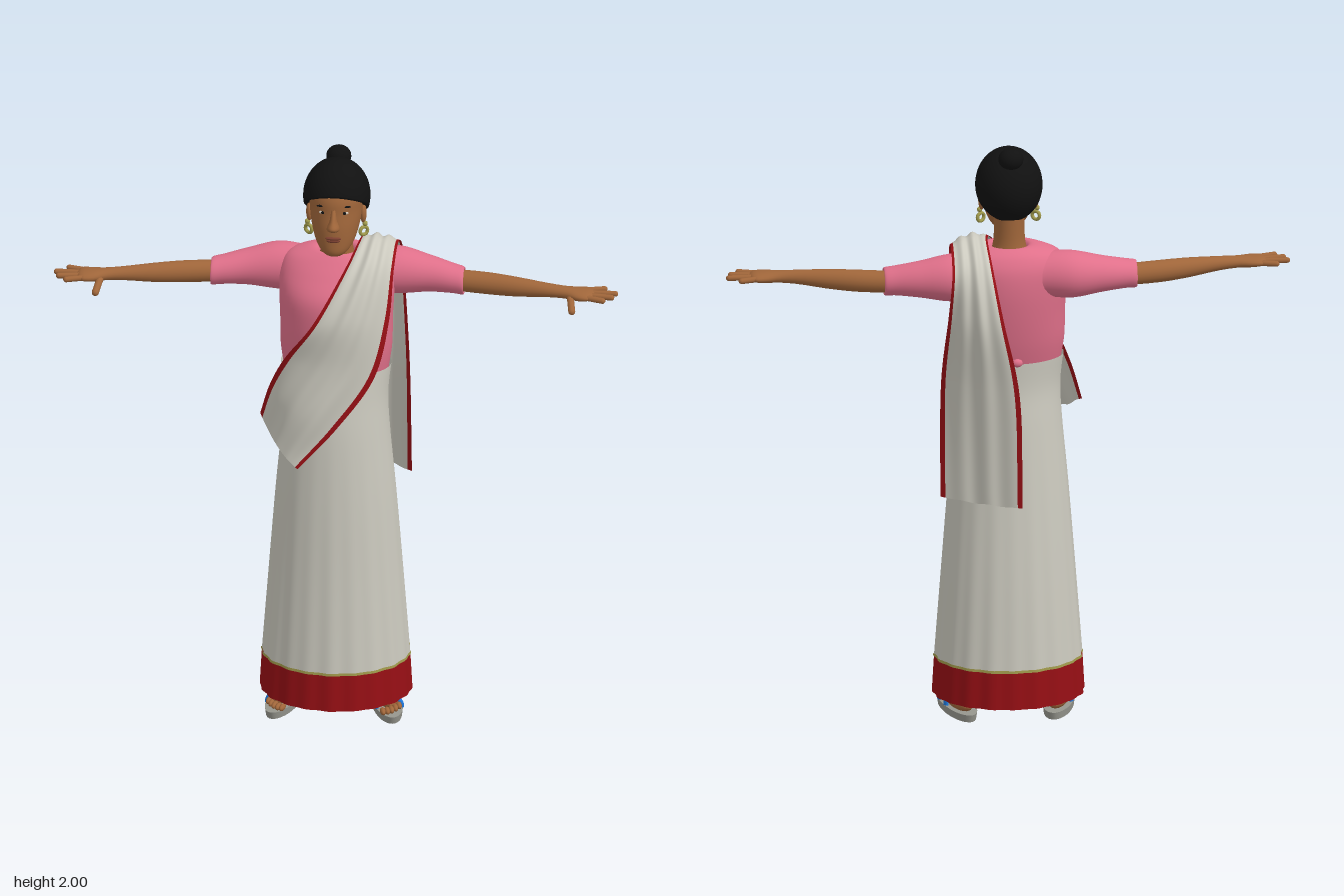
import * as THREE from 'three';
import { mergeVertices } from 'three/addons/utils/BufferGeometryUtils.js';

const colours = { skin: 0xa0663a, hair: 0x111111, blouse: 0xe0708a, cloth: 0xcbc9be, border: 0x960f14,
  gold: 0xa09a4c, strap: 0x1f7ae0, sole: 0x96968e, lips: 0x7c4030, eyeWhite: 0xcfc4b4 };

// Smooth grid surface from point(u, v), u and v in 0..1
function surface(point, nu, nv) {
  const pos = [], idx = [];
  for (let j = 0; j <= nv; j++) for (let i = 0; i <= nu; i++) pos.push(...point(i / nu, j / nv));
  for (let j = 0; j < nv; j++) for (let i = 0; i < nu; i++) {
    const a = j * (nu + 1) + i, b = a + 1, c = a + nu + 1, d = c + 1;
    idx.push(a, b, d, a, d, c);
  }
  let g = new THREE.BufferGeometry();
  g.setAttribute('position', new THREE.Float32BufferAttribute(pos, 3));
  g.setIndex(idx);
  g = mergeVertices(g, 1e-5);
  g.computeVertexNormals();
  return g;
}

// Catmull-Rom sample of a table of rows
function sample(rows, t) {
  const f = t * (rows.length - 1), i = Math.min(Math.floor(f), rows.length - 2), s = f - i;
  const [p, q, r, w] = [-1, 0, 1, 2].map(k => rows[THREE.MathUtils.clamp(i + k, 0, rows.length - 1)]);
  return q.map((_, k) => q[k] + 0.5 * s * (r[k] - p[k] + s * (2 * p[k] - 5 * q[k] + 4 * r[k] - w[k]
    + s * (3 * (q[k] - r[k]) + w[k] - p[k]))));
}

// Upright body: rows of [y, half width, front z, back z], with optional folds
function upright(rows, nu = 40, nv = 24, fold = () => 0) {
  return surface((u, v) => {
    const [y, w, f, b] = sample(rows, v), a = u * Math.PI * 2;
    const k = 1 + fold(y) * (Math.cos(a * 20) + 0.5 * Math.cos(a * 13));
    return [Math.sin(a) * Math.max(w, 0) * k, y, (f + b) / 2 + Math.cos(a) * (f - b) / 2 * k];
  }, nu, nv);
}

// Limb along x: rows of [x, y, z, y radius, z radius]
function limb(rows, nu = 20, nv = 20) {
  return surface((u, v) => {
    const [x, y, z, ry, rz] = sample(rows, v), a = u * Math.PI * 2;
    return [x, y - Math.sin(a) * Math.max(ry, 0), z + Math.cos(a) * Math.max(rz, 0)];
  }, nu, nv);
}

// Mirrored copy across x with corrected winding
function mirror(geo) {
  const g = geo.clone().scale(-1, 1, 1), ix = g.index.array;
  for (let i = 0; i < ix.length; i += 3) [ix[i], ix[i + 1]] = [ix[i + 1], ix[i]];
  return g;
}

const ball = (x, y, z, rx, ry, rz) => new THREE.SphereGeometry(1, 20, 14).scale(rx, ry, rz).translate(x, y, z);

// Rounded finger between two points
function finger(a, b, r) {
  const p = new THREE.Vector3(...a), q = new THREE.Vector3(...b), d = q.clone().sub(p);
  const g = new THREE.CapsuleGeometry(r, d.length(), 4, 10);
  g.applyQuaternion(new THREE.Quaternion().setFromUnitVectors(new THREE.Vector3(0, 1, 0), d.normalize()));
  return g.translate(...p.add(q).multiplyScalar(0.5).toArray());
}

export function createModel() {
  const model = new THREE.Group();
  model.name = 'womanInDrapedDress';
  const mats = {};
  for (const [name, color] of Object.entries(colours)) {
    mats[name] = new THREE.MeshStandardMaterial({ color });
    mats[name].name = name;
  }
  for (const n of ['cloth', 'border', 'blouse', 'hair']) mats[n].side = THREE.DoubleSide;
  const add = (name, geo, mat) => {
    const m = new THREE.Mesh(geo, mats[mat]);
    m.name = name;
    model.add(m);
  };
  const pair = (name, geo, mat) => {
    add(name + 'Left', geo, mat);
    add(name + 'Right', mirror(geo), mat);
  };

  // Skirt with hem border and gold trim
  const fold = y => 0.011 * Math.max(0, 1 - y / 1.1);
  add('skirt', upright([[0.2, 0.245, 0.243, -0.18], [0.5, 0.223, 0.225, -0.16], [0.8, 0.2, 0.21, -0.135],
    [1.02, 0.18, 0.195, -0.115], [1.15, 0.174, 0.178, -0.1], [1.255, 0.184, 0.162, -0.102]], 160, 30, fold), 'cloth');
  add('skirtHem', upright([[0.07, 0.252, 0.25, -0.185], [0.2, 0.245, 0.243, -0.18]], 160, 4, fold), 'border');
  add('hemTrim', upright([[0.197, 0.248, 0.246, -0.183], [0.206, 0.247, 0.245, -0.182]], 160, 1, fold), 'gold');

  // Blouse, sleeves and the small knot at the back
  add('blouse', upright([[1.235, 0.174, 0.15, -0.093], [1.32, 0.186, 0.16, -0.115], [1.42, 0.188, 0.168, -0.132],
    [1.51, 0.192, 0.16, -0.14], [1.58, 0.19, 0.115, -0.135], [1.625, 0.165, 0.08, -0.115],
    [1.648, 0.11, 0.06, -0.09], [1.652, 0.07, 0.053, -0.072], [1.635, 0.055, 0.045, -0.06]], 48, 40), 'blouse');
  pair('sleeve', limb([[0.1, 1.555, -0.045, 0.075, 0.075], [0.2, 1.555, -0.06, 0.08, 0.08],
    [0.3, 1.55, -0.052, 0.062, 0.064], [0.38, 1.543, -0.036, 0.05, 0.054], [0.42, 1.538, -0.028, 0.046, 0.05],
    [0.415, 1.538, -0.028, 0.035, 0.037]], 28, 24), 'blouse');
  for (const s of [-1, 1]) add('backKnot', ball(s * 0.016, 1.265, -0.115, 0.018, 0.014, 0.012), 'blouse');

  // Arms and hands
  pair('forearm', limb([[0.38, 1.537, -0.035, 0.036, 0.036], [0.5, 1.538, -0.015, 0.037, 0.037],
    [0.6, 1.54, 0.008, 0.033, 0.033], [0.7, 1.543, 0.03, 0.024, 0.026], [0.765, 1.543, 0.042, 0.02, 0.027],
    [0.81, 1.542, 0.05, 0.019, 0.042], [0.85, 1.543, 0.05, 0.014, 0.043], [0.868, 1.543, 0.05, 0, 0]]), 'skin');
  const tips = [[0.895, 0.1], [0.922, 0.072], [0.932, 0.04], [0.893, 0.005]];
  tips.forEach(([x, z], i) => pair('finger', finger([0.84, 1.543, 0.082 - i * 0.021], [x, 1.543, z], 0.0098), 'skin'));
  pair('thumb', finger([0.785, 1.535, 0.07], [0.795, 1.512, 0.127], 0.012), 'skin');

  // Neck, head and face
  add('neck', upright([[1.6, 0.07, 0.06, -0.07], [1.66, 0.053, 0.055, -0.058], [1.75, 0.052, 0.06, -0.06]], 28, 8), 'skin');
  add('head', upright([[1.674, 0, 0.1, 0.1], [1.677, 0.028, 0.125, 0.06], [1.695, 0.05, 0.14, 0.02], [1.73, 0.069, 0.142, -0.02],
    [1.78, 0.082, 0.141, -0.06], [1.83, 0.088, 0.134, -0.075], [1.88, 0.09, 0.128, -0.075],
    [1.925, 0.07, 0.1, -0.05], [1.95, 0, 0.02, 0.02]], 40, 36), 'skin');
  add('nose', upright([[1.773, 0, 0.135, 0.13], [1.78, 0.02, 0.16, 0.11], [1.793, 0.02, 0.172, 0.11],
    [1.815, 0.012, 0.157, 0.11], [1.85, 0.008, 0.136, 0.11]], 20, 16), 'skin');
  add('upperLip', ball(0, 1.75, 0.14, 0.027, 0.006, 0.008), 'lips');
  add('lowerLip', ball(0, 1.741, 0.139, 0.023, 0.007, 0.008), 'lips');
  pair('eye', ball(0.035, 1.836, 0.12, 0.015, 0.006, 0.005), 'eyeWhite');
  pair('pupil', ball(0.035, 1.836, 0.123, 0.007, 0.006, 0.004), 'hair');
  pair('eyebrow', ball(0.036, 1.858, 0.118, 0.022, 0.004, 0.005).rotateZ(0), 'hair');
  pair('ear', ball(0.09, 1.795, 0.025, 0.011, 0.034, 0.02), 'skin');
  pair('earring', new THREE.TorusGeometry(0.014, 0.006, 8, 20).rotateY(0.6).translate(0.092, 1.733, 0.03), 'gold');
  pair('earStud', ball(0.096, 1.76, 0.03, 0.009, 0.009, 0.009), 'gold');

  // Hair cap whose lower edge drops from forehead to nape, and bun
  add('hair', surface((u, v) => {
    const a = u * Math.PI * 2, c = Math.cos(a);
    const low = THREE.MathUtils.degToRad(c > 0 ? -18 + 36 * c : -18 + 48 * c);
    const e = low + (Math.PI / 2 - low) * Math.max(0, (v - 0.06) / 0.94), k = v === 0 ? 0.82 : 1;
    return [Math.sin(a) * Math.cos(e) * 0.112 * k, 1.852 + Math.sin(e) * 0.128, 0.011 + c * Math.cos(e) * 0.122 * k];
  }, 48, 20), 'hair');
  add('bun', ball(0, 1.963, -0.058, 0.042, 0.037, 0.04), 'hair');

  // Long draped cloth: back hem, over the left shoulder, across to the right hip
  const curve = pts => new THREE.CatmullRomCurve3(pts.map(p => new THREE.Vector3(...p)));
  const inner = curve([[-0.02, 0.8, -0.25], [-0.01, 1.2, -0.245], [0.04, 1.45, -0.22], [0.07, 1.62, -0.135], [0.075, 1.678, -0.03],
    [0.035, 1.62, 0.1], [-0.065, 1.45, 0.185], [-0.165, 1.3, 0.14], [-0.215, 1.19, 0.1], [-0.25, 1.07, 0.07]]);
  const middle = curve([[0.11, 0.8, -0.19], [0.12, 1.2, -0.185], [0.13, 1.45, -0.195], [0.135, 1.62, -0.15], [0.135, 1.685, -0.03],
    [0.12, 1.635, 0.1], [0.065, 1.47, 0.192], [-0.01, 1.3, 0.205], [-0.11, 1.14, 0.21], [-0.18, 1.0, 0.185]]);
  const outer = curve([[0.24, 0.8, -0.1], [0.235, 1.2, -0.08], [0.215, 1.45, -0.14], [0.205, 1.59, -0.155], [0.2, 1.66, -0.05],
    [0.195, 1.61, 0.06], [0.185, 1.45, 0.125], [0.14, 1.26, 0.17], [0.02, 1.09, 0.215], [-0.11, 0.945, 0.235]]);
  const strip = (w0, w1, n) => surface((u, v) => {
    const w = w0 + (w1 - w0) * u, t = v;
    const p = inner.getPoint(t).multiplyScalar((1 - w) * (1 - 2 * w))
      .addScaledVector(middle.getPoint(t), 4 * w * (1 - w)).addScaledVector(outer.getPoint(t), w * (2 * w - 1));
    const ripple = 0.006 * Math.sin(w * Math.PI * 6) * Math.sin(w * Math.PI);
    return [p.x, p.y + ripple * 0.6, p.z + (t > 0.45 ? ripple : -ripple)];
  }, n, 90);
  add('drape', strip(0.06, 0.94, 36), 'cloth');
  add('drapeInnerBorder', strip(0, 0.06, 3), 'border');
  add('drapeOuterBorder', strip(0.94, 1, 3), 'border');

  // Legs, feet and sandals
  const place = g => g.rotateY(0.24).translate(0.17, 0, 0.042);
  const strapBand = (z, r, h) => place(new THREE.TorusGeometry(r, 0.007, 8, 24, Math.PI).scale(1, h, 2.2).translate(0, 0.025, z));
  pair('leg', new THREE.CylinderGeometry(0.055, 0.036, 0.36, 20).translate(0.142, 0.23, -0.04), 'skin');
  pair('sole', place(new THREE.CylinderGeometry(1, 0.95, 0.026, 32).scale(0.05, 1, 0.145).translate(0, 0.013, 0)), 'sole');
  pair('foot', place(ball(0, 0.045, -0.015, 0.038, 0.032, 0.105)), 'skin');
  for (let i = 0; i < 5; i++)
    pair('toe', place(ball(-0.03 + i * 0.015, 0.036, 0.112 - i * i * 0.0025, 0.0095, 0.011, 0.022)), 'skin');
  pair('toeStrap', strapBand(0.055, 0.043, 0.9), 'strap');
  pair('instepStrap', strapBand(-0.01, 0.043, 1.25), 'strap');
  pair('ankleStrap', place(new THREE.TorusGeometry(0.041, 0.008, 8, 24).rotateX(Math.PI / 2).scale(1, 1.5, 1)
    .translate(0, 0.072, -0.083)), 'strap');
  return model;
}
